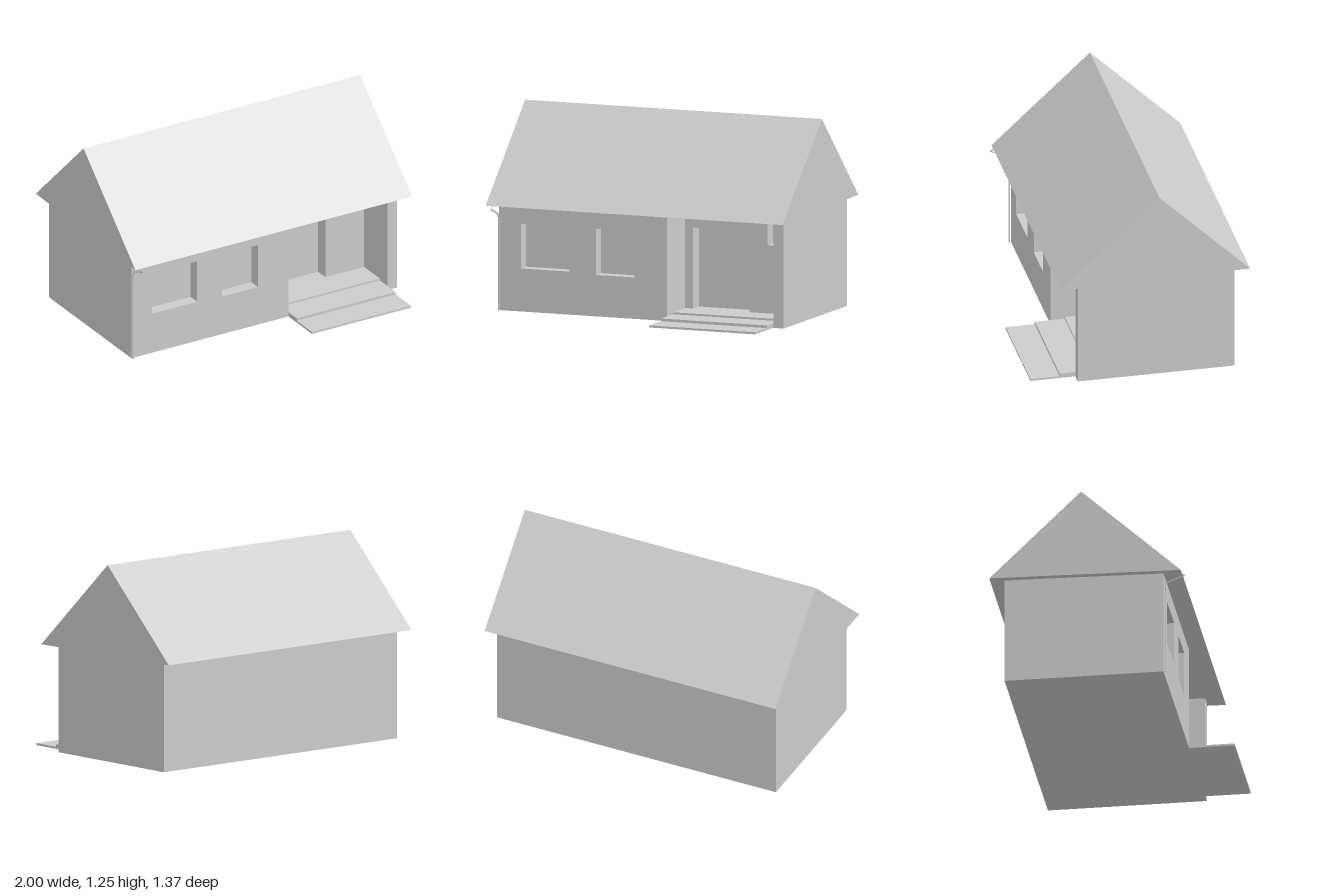
import * as THREE from 'three';

const grey = new THREE.MeshStandardMaterial({ color: 0xcccccc, flatShading: true });

function add(parent, name, geometry) {
  const mesh = new THREE.Mesh(geometry, grey);
  mesh.name = name;
  parent.add(mesh);
  return mesh;
}

function polygon(points) {
  return new THREE.Shape(points.map(([x, y]) => new THREE.Vector2(x, y)));
}

function rect(x0, x1, y0, y1) {
  return [[x0, y0], [x1, y0], [x1, y1], [x0, y1]];
}

function extrude(shape, depth) {
  return new THREE.ExtrudeGeometry(shape, { depth, bevelEnabled: false });
}

// Wall layer facing +z, pierced by rectangular openings
function facade(parent, name, outline, openings, z0, z1) {
  const shape = polygon(rect(...outline));
  for (const o of openings) shape.holes.push(polygon(rect(...o)));
  add(parent, name, extrude(shape, z1 - z0)).position.z = z0;
}

function block(parent, name, x0, x1, y0, y1, z0, z1) {
  const mesh = add(parent, name, new THREE.BoxGeometry(x1 - x0, y1 - y0, z1 - z0));
  mesh.position.set((x0 + x1) / 2, (y0 + y1) / 2, (z0 + z1) / 2);
}

export function createModel() {
  const house = new THREE.Group();
  house.name = 'house';
  const wallTop = 0.685;
  const porchL = 0.175, porchR = 0.89;

  // Main walls: plan outline with a notch for the porch, raised upwards (plan y = -z)
  const plan = polygon([
    [-0.96, -0.32], [porchL, -0.32], [porchL, -0.03], [porchR, -0.03],
    [porchR, -0.4], [0.96, -0.4], [0.96, 0.595], [-0.96, 0.595],
  ]);
  add(house, 'walls', extrude(plan, wallTop).rotateX(-Math.PI / 2));

  // Front wall with two recessed windows
  facade(house, 'frontWall', [-0.96, porchL, 0, wallTop],
    [[-0.81, -0.485, 0.27, 0.55], [-0.305, -0.045, 0.26, 0.55]], 0.32, 0.4);

  // Porch back wall with the doorway and a small high window
  facade(house, 'porchWall', [porchL, porchR, 0, wallTop],
    [[0.23, 0.61, 0.042, 0.55], [0.73, 0.888, 0.47, 0.63]], 0.03, 0.12);

  // Porch floor and steps
  block(house, 'porchFloor', porchL, porchR, 0, 0.042, 0.12, 0.31);
  block(house, 'upperStep', porchL, porchR, 0, 0.03, 0.31, 0.5);
  block(house, 'lowerStep', porchL, porchR, 0, 0.013, 0.5, 0.685);

  // Gabled roof: end profile drawn with x = -z, swept along the ridge
  const gable = polygon([[-0.515, 0.668], [0.685, 0.688], [0.11, 1.245]]);
  add(house, 'roof', extrude(gable, 2).rotateY(Math.PI / 2).translate(-1, 0, 0));

  // Downpipe: straight lengths joined at small elbows
  const pipe = new THREE.Group();
  pipe.name = 'downpipe';
  house.add(pipe);
  const path = [[0.67, 0.505], [0.65, 0.53], [0.605, 0.418], [0.53, 0.413], [0, 0.413]]
    .map(([y, z]) => new THREE.Vector3(-0.955, y, z));
  const r = 0.005;
  for (let i = 1; i < path.length; i++) {
    const dir = path[i].clone().sub(path[i - 1]);
    const length = add(pipe, 'pipeLength', new THREE.CylinderGeometry(r, r, dir.length(), 8));
    length.position.copy(path[i]).add(path[i - 1]).multiplyScalar(0.5);
    length.quaternion.setFromUnitVectors(new THREE.Vector3(0, 1, 0), dir.normalize());
    if (i < path.length - 1) {
      add(pipe, 'pipeElbow', new THREE.SphereGeometry(r, 8, 6)).position.copy(path[i]);
    }
  }

  return house;
}
